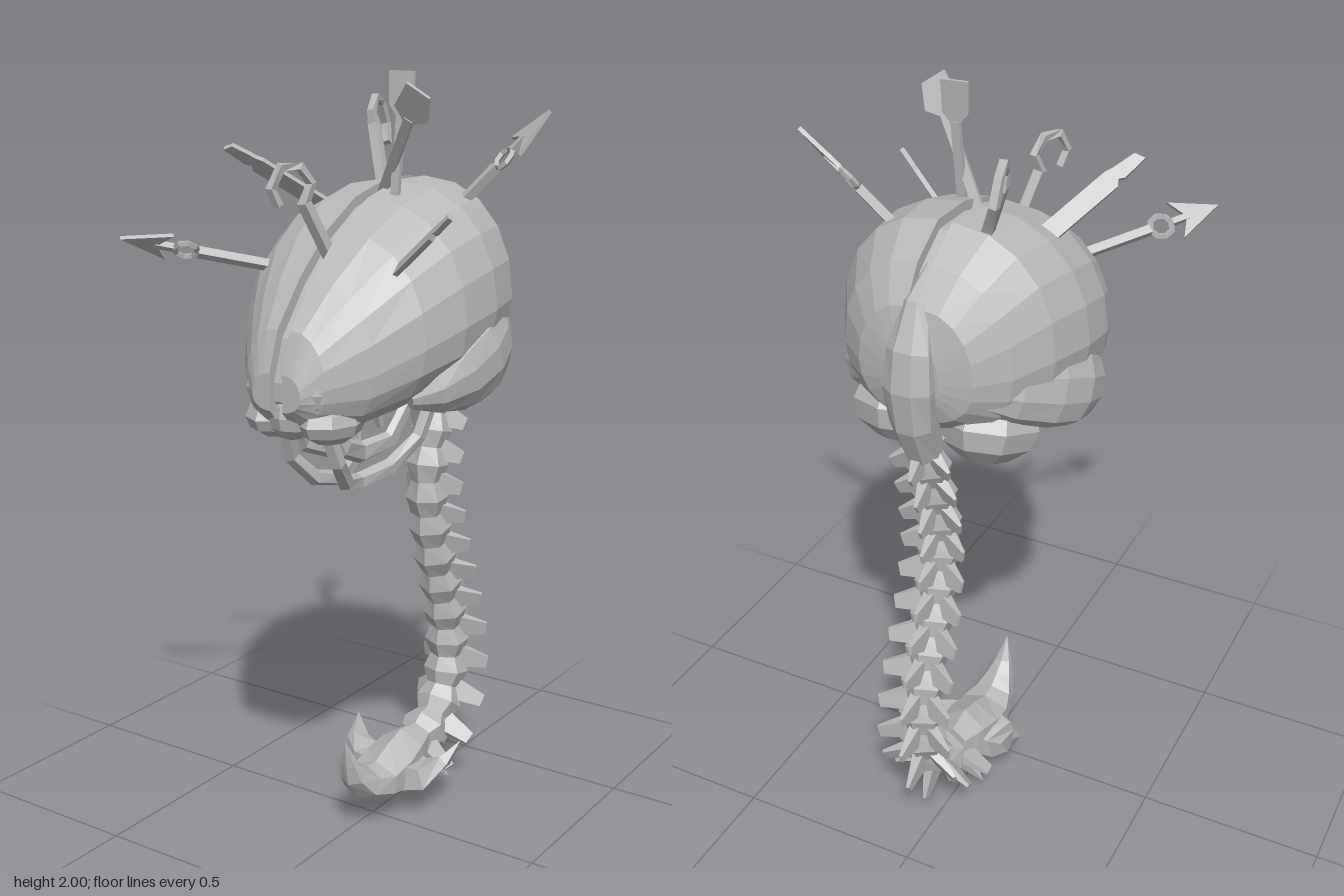
import * as THREE from 'three';

const bone = new THREE.MeshStandardMaterial({ color: 0xb8b8b8, flatShading: true, side: THREE.DoubleSide });
bone.name = 'boneGrey';
const CX = 0.02; // midline of brain and spine
const V = (x, y, z) => new THREE.Vector3(x, y, z);

function mesh(geometry, name) {
  const m = new THREE.Mesh(geometry, bone);
  m.name = name;
  return m;
}

// Skin over a list of equal-length rings, with both ends closed to their centres
function loft(rings, name) {
  const centre = r => r.reduce((a, p) => a.add(p), V(0, 0, 0)).divideScalar(r.length);
  const n = rings[0].length;
  const all = [Array(n).fill(centre(rings[0])), ...rings, Array(n).fill(centre(rings.at(-1)))];
  const index = [];
  for (let i = 0; i < all.length - 1; i++) for (let j = 0; j < n; j++) {
    const a = i * n + j, b = i * n + (j + 1) % n;
    index.push(a, b, a + n, b, b + n, a + n);
  }
  const g = new THREE.BufferGeometry().setFromPoints(all.flat());
  g.setIndex(index);
  g.computeVertexNormals();
  return mesh(g, name);
}

// Tapered tube; each point is [x, y, z, sideRadius, otherRadius]
function limb(pts, name, sides = 6, ref = V(1, 0, 0)) {
  const P = pts.map(p => V(p[0], p[1], p[2]));
  const rings = P.map((p, i) => {
    const t = P[Math.min(i + 1, P.length - 1)].clone().sub(P[Math.max(i - 1, 0)]).normalize();
    const nrm = t.clone().cross(ref).normalize();
    const side = nrm.clone().cross(t);
    const rx = pts[i][3], ry = pts[i][4] ?? rx;
    return Array.from({ length: sides }, (_, j) => {
      const a = (j + 0.5) / sides * Math.PI * 2;
      return p.clone().addScaledVector(side, rx * Math.cos(a)).addScaledVector(nrm, ry * Math.sin(a));
    });
  });
  return loft(rings, name);
}

// Flat plate from an outline in the xy plane
function plate(pts, depth, name) {
  const g = new THREE.ExtrudeGeometry(new THREE.Shape(pts.map(p => new THREE.Vector2(...p))), { depth, bevelEnabled: false });
  return mesh(g.translate(0, 0, -depth / 2), name);
}

// Group whose +y runs from base to tip and whose +z is near the given normal
function tool(name, base, tip, normal, parts) {
  const y = V(...tip).sub(V(...base)).normalize();
  const x = y.clone().cross(V(...normal)).normalize();
  const g = new THREE.Group();
  g.name = name;
  g.add(...parts);
  g.quaternion.setFromRotationMatrix(new THREE.Matrix4().makeBasis(x, y, x.clone().cross(y)));
  g.position.set(...base);
  return g;
}

const bar = (y0, y1, w, d = w) => mesh(new THREE.BoxGeometry(w, y1 - y0, d).translate(0, (y0 + y1) / 2, 0), 'shaft');

function harpoon(name, base, tip, normal) {
  const ring = mesh(new THREE.TorusGeometry(0.029, 0.008, 4, 8), 'ring');
  ring.position.y = 0.185;
  return tool(name, base, tip, normal, [
    bar(-0.06, 0.155, 0.022), ring, bar(0.215, 0.26, 0.016),
    plate([[0, 0.345], [-0.052, 0.225], [-0.01, 0.25], [0.01, 0.25], [0.052, 0.225]], 0.01, 'barbedHead')]);
}

const blade = (name, base, tip, normal, L, w) => tool(name, base, tip, normal, [
  plate([[-w, -0.05], [w, -0.05], [w, L * 0.65], [w * 0.45, L * 0.7], [w * 0.8, L * 0.75], [w * 0.6, L],
    [-w * 0.5, L * 0.96], [-w * 0.8, L * 0.72], [-w, L * 0.65]], 0.012, 'bladePlate')]);

// z, top, bottom, half width of each brain cross-section
const SECTIONS = [
  [0.435, 1.32, 1.23, 0.07], [0.4, 1.42, 1.19, 0.115], [0.31, 1.53, 1.155, 0.19], [0.2, 1.63, 1.175, 0.265],
  [0.08, 1.7, 1.195, 0.305], [-0.05, 1.735, 1.215, 0.313], [-0.18, 1.738, 1.23, 0.283], [-0.28, 1.675, 1.25, 0.222],
  [-0.338, 1.59, 1.3, 0.15], [-0.358, 1.5, 1.36, 0.07]];

function hemisphere(s) {
  const gap = 0.018, N = 10;
  const rings = SECTIONS.map(([z, top, bot, w]) => Array.from({ length: N + 1 }, (_, j) => {
    const a = j / N * Math.PI, mid = top * 0.42 + bot * 0.58;
    const c = Math.cos(a), h = c > 0 ? top - mid : mid - bot;
    const x = gap + (w - gap) * Math.pow(Math.sin(a), 0.9);
    return V(CX + s * x, mid + h * Math.sign(c) * Math.pow(Math.abs(c), 0.95), z);
  }));
  return loft(rings, 'hemisphere');
}

function blob(name, x, y, z, rx, ry, rz, rot = 0) {
  const m = mesh(new THREE.SphereGeometry(1, 8, 6), name);
  m.scale.set(rx, ry, rz);
  m.position.set(x, y, z);
  m.rotation.x = rot;
  return m;
}

function createBrain() {
  const g = new THREE.Group();
  g.name = 'brain';
  // Floor of the central groove
  const core = [...SECTIONS.map(s => [-s[0] * 0.96, s[1] - 0.025]), ...SECTIONS.map(s => [-s[0] * 0.96, s[2] + 0.02]).reverse()];
  const floor = plate(core, 0.05, 'grooveFloor');
  floor.rotation.y = Math.PI / 2;
  floor.position.x = CX;
  g.add(floor);
  for (const s of [1, -1]) {
    const X = x => CX + s * x;
    g.add(hemisphere(s));
    g.add(limb([[X(0.2), 1.235, 0.17, 0.02, 0.025], [X(0.235), 1.25, 0.11, 0.045, 0.06], [X(0.265), 1.28, 0.03, 0.055, 0.088],
      [X(0.277), 1.315, -0.05, 0.052, 0.1], [X(0.255), 1.345, -0.13, 0.05, 0.1], [X(0.2), 1.38, -0.22, 0.05, 0.09],
      [X(0.12), 1.41, -0.3, 0.04, 0.06]], 'sideLobe', 10));
    g.add(blob('hindLobe', X(0.115), 1.245, -0.18, 0.13, 0.105, 0.15, 0.3));
    g.add(blob('frontBulb', X(0.06), 1.275, 0.37, 0.065, 0.065, 0.06));
    g.add(blob('lowerBulb', X(0.075), 1.195, 0.32, 0.075, 0.055, 0.1));
    // Nerve loops hanging under the brain
    g.add(limb([[X(0.06), 1.17, 0.32, 0.02], [X(0.07), 1.08, 0.285, 0.02], [X(0.045), 1.015, 0.22, 0.022], [X(0.03), 0.998, 0.14, 0.022],
      [X(0.06), 1.02, 0.04, 0.022], [X(0.1), 1.09, -0.03, 0.02], [X(0.12), 1.2, -0.07, 0.02]], 'outerNerveLoop', 5));
    g.add(limb([[X(0.05), 1.18, 0.28, 0.014, 0.02], [X(0.06), 1.11, 0.24, 0.014, 0.028], [X(0.04), 1.075, 0.14, 0.014, 0.03],
      [X(0.06), 1.09, 0.04, 0.014, 0.028], [X(0.07), 1.19, -0.04, 0.014, 0.02]], 'innerNerveLoop', 5));
    // Short loose nerve end
    g.add(limb([[X(0.07), 1.17, -0.07, 0.025], [X(0.06), 1.08, -0.095, 0.01]], 'nerveStub', 4));
  }
  g.add(blob('noseBulb', CX, 1.21, 0.375, 0.06, 0.06, 0.05));
  g.add(limb([[CX, 1.66, -0.25, 0.01], [CX, 1.59, -0.315, 0.035], [CX, 1.49, -0.355, 0.06, 0.045], [CX, 1.4, -0.368, 0.068, 0.045],
    [CX, 1.3, -0.35, 0.06, 0.05], [CX, 1.2, -0.305, 0.05]], 'brainStem', 8));
  return g;
}

function createSpine() {
  const g = new THREE.Group();
  g.name = 'spine';
  const curve = new THREE.CatmullRomCurve3([[1.23, -0.31], [1.05, -0.258], [0.9, -0.235], [0.735, -0.265], [0.58, -0.315],
    [0.42, -0.355], [0.27, -0.34], [0.175, -0.26], [0.145, -0.15]].map(([y, z]) => V(CX, y, z)));
  const N = 13, rows = [];
  for (let i = 0; i <= N * 2; i++) {
    const u = i / (N * 2), p = curve.getPointAt(u), k = 0.95 + 0.2 * u;
    rows.push([p.x, p.y, p.z, k * (i % 2 ? 0.042 : 0.06), k * (i % 2 ? 0.042 : 0.054)]);
  }
  g.add(limb(rows, 'vertebrae', 6));
  // Three spines on every vertebra: one behind, one on each side
  for (let i = 0; i < N; i++) {
    const u = (i + 0.5) / N, p = curve.getPointAt(u), t = curve.getTangentAt(u);
    const back = V(0, -t.z, t.y);
    if (back.z > 0) back.negate();
    const size = 0.075 + 0.045 * u;
    const spike = (dir, len, r0, r1, name) => {
      const a = p.clone().addScaledVector(dir, 0.015);
      const b = p.clone().addScaledVector(dir, len).addScaledVector(t, 0.02);
      g.add(limb([[...a, 0.024, r0], [...b, 0.006, r1]], name, 4, t.clone().cross(dir)));
    };
    spike(back, size + 0.012, 0.06, 0.018, 'backSpine');
    for (const s of [1, -1]) spike(V(s, 0, 0).addScaledVector(back, 0.5).normalize(), size + 0.01, 0.05, 0.025, 'sideSpine');
  }
  return g;
}

function createStinger() {
  const g = new THREE.Group();
  g.name = 'stinger';
  g.add(limb([[CX, 0.155, -0.2, 0.05, 0.05], [CX, 0.135, -0.13, 0.075, 0.08], [CX, 0.12, -0.06, 0.085, 0.075], [CX, 0.115, 0.02, 0.08, 0.05],
    [CX, 0.13, 0.08, 0.06, 0.045], [CX, 0.17, 0.12, 0.04, 0.035], [CX, 0.21, 0.14, 0.025, 0.018], [CX, 0.28, 0.162, 0.001]], 'hookedTail', 6));
  for (const s of [1, -1]) {
    g.add(limb([[CX + s * 0.03, 0.115, -0.07, 0.085, 0.055], [CX + s * 0.1, 0.115, -0.08, 0.07, 0.04], [CX + s * 0.145, 0.155, -0.11, 0.04, 0.02],
      [CX + s * 0.17, 0.205, -0.15, 0.001]], 'sideBarb', 4, V(0, 0, 1)));
    g.add(limb([[CX + s * 0.03, 0.13, -0.2, 0.035], [CX + s * 0.1, 0.06, -0.2, 0.002]], 'lowBarb', 4, V(0, 0, 1)));
  }
  for (const [z, y, z0] of [[-0.08, 0.025, -0.05], [-0.19, 0, -0.17]])
    g.add(limb([[CX, 0.13, z0, 0.03, 0.055], [CX, y, z, 0.002]], 'bottomBarb', 4));
  return g;
}

function createTools() {
  const g = new THREE.Group();
  g.name = 'tools';
  g.add(harpoon('frontHarpoon', [-0.18, 1.54, 0.23], [-0.41, 1.61, 0.47], [-0.41, 0.86, -0.61]));
  g.add(harpoon('sideHarpoon', [0.157, 1.656, -0.126], [0.372, 1.891, -0.196], [-0.4, 0.65, 0.65]));
  g.add(blade('leftBlade', [0.215, 1.555, 0.21], [0.4, 1.69, 0.29], [-0.4, 0.6, 0.6], 0.246, 0.016));
  g.add(blade('rightBlade', [-0.165, 1.68, 0.015], [-0.3, 1.82, 0.2], [-0.4, 0.8, -0.5], 0.27, 0.024));
  // Hooks
  const frontHook = [[1.55, 0.215], [1.7, 0.285], [1.745, 0.268], [1.785, 0.295], [1.785, 0.338], [1.735, 0.362], [1.695, 0.345]];
  g.add(limb(frontHook.map(([y, z], i) => [0.02 - 0.5 * (z - 0.24), y, z, i < 2 ? 0.018 : 0.013]), 'frontHook', 4));
  const backHook = [[-0.055, 1.67, -0.14], [-0.14, 1.86, -0.215], [-0.145, 1.895, -0.21], [-0.16, 1.93, -0.25],
    [-0.175, 1.915, -0.3], [-0.175, 1.86, -0.325], [-0.155, 1.81, -0.3]];
  g.add(limb(backHook.map((p, i) => [...p, i < 2 ? 0.018 : 0.013]), 'backHook', 4));
  // Pick with diamond head
  g.add(tool('diamondPick', [0.03, 1.71, 0], [0.215, 1.96, 0.125], [0, 0.46, -0.89], [
    bar(-0.05, 0.24, 0.024, 0.014),
    plate([[0, 0.22], [0.045, 0.255], [0.035, 0.33], [-0.03, 0.325], [-0.045, 0.26]], 0.008, 'diamondHead')]));
  // Small flat scoop
  g.add(tool('scoop', [0.085, 1.7, 0.03], [0.095, 2, 0.005], [0, 0, 1], [
    bar(-0.03, 0.2, 0.022, 0.014),
    plate([[0, 0.18], [0.032, 0.22], [0.03, 0.3], [-0.042, 0.3], [-0.035, 0.22]], 0.008, 'scoopHead')]));
  return g;
}

export function createModel() {
  const model = new THREE.Group();
  model.name = 'spinedBrain';
  model.add(createBrain(), createSpine(), createStinger(), createTools());
  return model;
}
